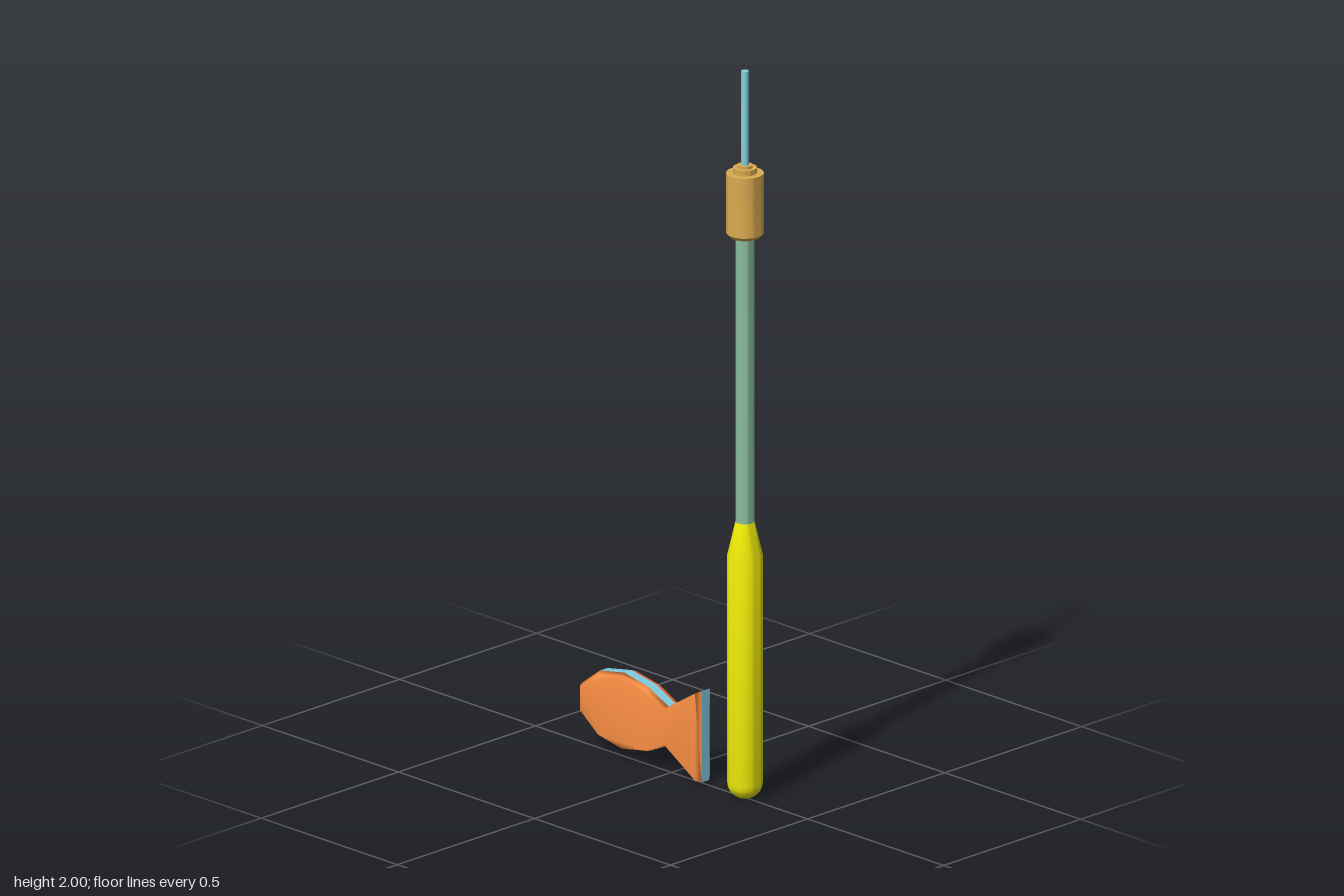
import * as THREE from 'three';
import { toCreasedNormals } from 'three/addons/utils/BufferGeometryUtils.js';

const WAND_X = 0.27;
const v2 = (x, y) => new THREE.Vector2(x, y);

function addMesh(parent, name, geometry, color) {
  const mesh = new THREE.Mesh(geometry, new THREE.MeshStandardMaterial({ color }));
  mesh.name = name;
  parent.add(mesh);
  return mesh;
}

// Turned part of the wand from [radius, height] pairs, bottom to top
function turned(parent, name, profile, color) {
  const lathe = new THREE.LatheGeometry(profile.map(([r, y]) => v2(r, y)), 32);
  addMesh(parent, name, toCreasedNormals(lathe, 0.6), color).position.x = WAND_X;
}

// Fish outline, counter-clockwise: the upper edge, mirrored for the lower one
const MID_Y = 0.132;
const upper = [[0.122, 0.126], [0.005, 0.052], [-0.07, 0.088], [-0.16, 0.105], [-0.25, 0.088], [-0.32, 0.035]];
const outline = [
  ...upper.map(([x, y]) => v2(x, y)),
  ...upper.slice().reverse().map(([x, y]) => v2(x, -y)),
];

// Cross-section of the fish; the tail leans very slightly backwards
function ring(z, scale) {
  return outline.map((p) => {
    const x = -0.099 + (p.x + 0.099) * scale;
    return [x, MID_Y + p.y * scale, z - 0.002 * THREE.MathUtils.smoothstep(x, 0.0, 0.12)];
  });
}

// Skin two sections (back first) and close both ends
function slab(back, front) {
  const n = back.length;
  const index = [];
  for (let i = 0; i < n; i++) {
    const j = (i + 1) % n;
    index.push(i, j, n + j, i, n + j, n + i);
  }
  for (const [a, b, c] of THREE.ShapeUtils.triangulateShape(outline, [])) {
    index.push(n + a, n + b, n + c, a, c, b);
  }
  const geometry = new THREE.BufferGeometry();
  geometry.setAttribute('position', new THREE.Float32BufferAttribute([...back, ...front].flat(), 3));
  geometry.setIndex(index);
  geometry.computeVertexNormals();
  return geometry;
}

export function createModel() {
  const model = new THREE.Group();
  model.name = 'wandAndFish';

  // Wand: rounded grip, shaft, collar and thin tip
  const wand = new THREE.Group();
  wand.name = 'wand';
  model.add(wand);
  const grip = [];
  for (let i = 0; i <= 6; i++) {
    const a = (i / 6) * Math.PI / 2;
    grip.push([0.046 * Math.sin(a), 0.042 * (1 - Math.cos(a))]);
  }
  grip.push([0.046, 0.67], [0.025, 0.76], [0, 0.76]);
  turned(wand, 'grip', grip, 0xf2ee08);
  turned(wand, 'shaft', [[0, 0.75], [0.024, 0.75], [0.024, 1.56], [0, 1.56]], 0x8abf9f);
  turned(wand, 'collar', [
    [0, 1.545], [0.04, 1.545], [0.049, 1.555], [0.049, 1.72], [0.031, 1.72],
    [0.031, 1.735], [0.02, 1.735], [0.02, 1.742], [0, 1.742],
  ], 0xdbab50);
  turned(wand, 'tip', [[0, 1.73], [0.01, 1.73], [0.01, 2], [0, 2]], 0x87cfe0);

  // Fish: core plate between two bevelled shells
  const fish = new THREE.Group();
  fish.name = 'fish';
  model.add(fish);
  const core = toCreasedNormals(slab(ring(-0.014, 1), ring(0.013, 1)), 0.6);
  addMesh(fish, 'fishCore', core, 0x80cde3);
  addMesh(fish, 'fishFrontShell', slab(ring(0.013, 1), ring(0.027, 0.95)), 0xff9145);
  addMesh(fish, 'fishBackShell', slab(ring(-0.028, 0.95), ring(-0.014, 1)), 0xff7043);

  return model;
}
